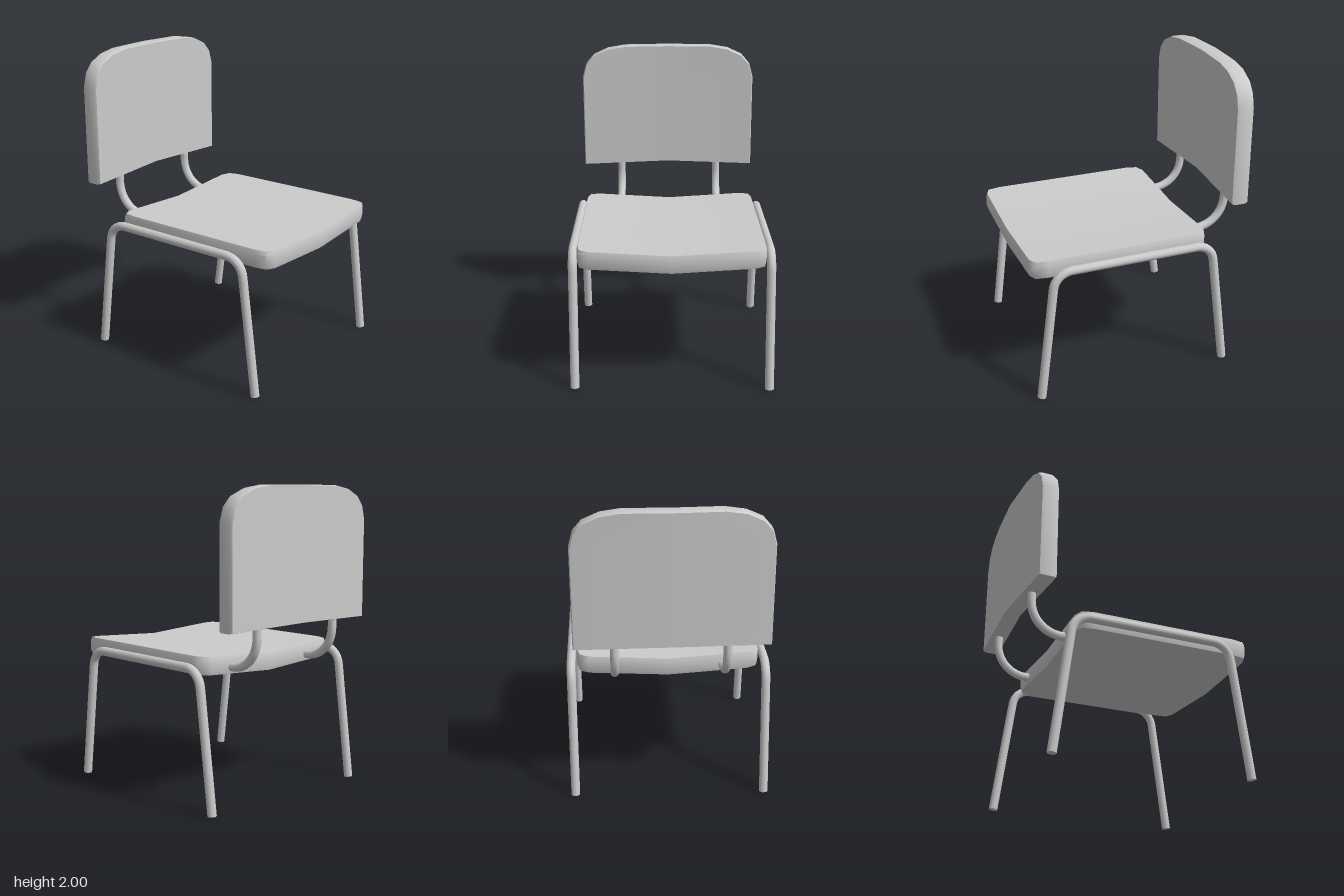
import * as THREE from 'three';
import { toCreasedNormals } from 'three/addons/utils/BufferGeometryUtils.js';

const material = new THREE.MeshStandardMaterial({ color: 0xcccccc });

function addMesh(parent, name, geometry) {
  const mesh = new THREE.Mesh(geometry, material);
  mesh.name = name;
  parent.add(mesh);
  return mesh;
}

// Mirror a right-hand half outline (from bottom centre to top centre)
const mirrored = half => [...half, ...half.slice(1, -1).reverse().map(([u, v]) => [-u, v])];

// Slab built from rings of one outline: rings = [scale, depth] from back to front,
// closed by fans to a centre point; place() bends each point into position
function slab(outline, rings, backDepth, frontDepth, place) {
  const positions = [], index = [], n = outline.length, last = (rings.length - 1) * n;
  for (const [scale, d] of rings)
    for (const [u, v] of outline) positions.push(...place(u * scale, v * scale, d));
  positions.push(...place(0, 0, backDepth), ...place(0, 0, frontDepth));
  const back = rings.length * n, front = back + 1;
  for (let i = 0; i < n; i++) {
    const j = (i + 1) % n;
    for (let r = 0; r < last; r += n)
      index.push(r + i, r + j, r + n + j, r + i, r + n + j, r + n + i);
    index.push(back, j, i, front, last + i, last + j);
  }
  const geometry = new THREE.BufferGeometry();
  geometry.setAttribute('position', new THREE.Float32BufferAttribute(positions, 3));
  geometry.setIndex(index);
  return toCreasedNormals(geometry, 1.05);
}

// Capped round tube in a plane of constant x
function addTube(parent, name, path, radius, segments) {
  const group = new THREE.Group();
  group.name = name;
  addMesh(group, name + 'Tube', new THREE.TubeGeometry(path, segments, radius, 10, false));
  for (const t of [0, 1]) {
    const cap = addMesh(group, name + 'End', new THREE.CircleGeometry(radius, 10));
    const direction = path.getTangentAt(t).multiplyScalar(t ? 1 : -1);
    cap.position.copy(path.getPointAt(t));
    cap.quaternion.setFromUnitVectors(new THREE.Vector3(0, 0, 1), direction);
  }
  parent.add(group);
}

// Path through (z, y) points with each inner corner rounded by distance r
function roundedPath(x, points, r) {
  const p = points.map(([z, y]) => new THREE.Vector3(x, y, z));
  const path = new THREE.CurvePath();
  let from = p[0];
  for (let i = 1; i < p.length - 1; i++) {
    const before = p[i].clone().add(p[i - 1].clone().sub(p[i]).setLength(r));
    const after = p[i].clone().add(p[i + 1].clone().sub(p[i]).setLength(r));
    const c1 = before.clone().lerp(p[i], 0.58), c2 = after.clone().lerp(p[i], 0.58);
    path.add(new THREE.LineCurve3(from, before));
    path.add(new THREE.CubicBezierCurve3(before, c1, c2, after));
    from = after;
  }
  path.add(new THREE.LineCurve3(from, p[p.length - 1]));
  return path;
}

export function createModel() {
  const chair = new THREE.Group();
  chair.name = 'chair';

  // Seat: shallow V across its width, underside deepest in the middle
  const seatOutline = mirrored([
    [0, -0.6], [0.52, -0.6], [0.578, -0.575], [0.592, -0.49],
    [0.592, 0.5], [0.575, 0.572], [0.515, 0.6], [0, 0.6],
  ]);
  const seat = addMesh(chair, 'seat', slab(
    seatOutline,
    [[0.988, 0.81], [1, 0.835], [1, 0.9], [0.988, 0.925]], 0.79, 0.925,
    (u, v, d) => [u, d + 0.06 * Math.abs(u), -v]));
  seat.position.set(-0.002, 0, 0.145);

  // Backrest: rounded top corners, wrapped slightly forward at the sides
  const backOutline = mirrored([
    [0, -0.425], [0.61, -0.44], [0.61, 0.21], [0.585, 0.3], [0.53, 0.363],
    [0.43, 0.408], [0.305, 0.428], [0, 0.43],
  ]);
  const backrest = addMesh(chair, 'backrest', slab(
    backOutline,
    [[0.988, -0.75], [1, -0.73], [1, -0.662], [0.988, -0.64]], -0.75, -0.64,
    (u, v, d) => [u, v, d + 0.055 * Math.abs(u)]));
  backrest.position.set(-0.01, 1.57, 0);

  // Side frames: each bends one tube into front leg, rail and back leg
  for (const [name, x, shift] of [['leftLegFrame', 0.625, 0], ['rightLegFrame', -0.628, -0.04]]) {
    const path = roundedPath(x, [
      [0.72 + shift, 0], [0.607 + shift, 0.89], [-0.457 + shift, 0.89], [-0.575 + shift, 0],
    ], 0.11);
    addTube(chair, name, path, 0.029, 90);
  }

  // Curved supports from the back of the seat up into the backrest
  for (const [name, x] of [['leftBackSupport', 0.347], ['rightBackSupport', -0.352]])
    addTube(chair, name, roundedPath(x, [[-0.42, 0.875], [-0.677, 0.875], [-0.677, 1.17]], 0.21), 0.028, 28);

  return chair;
}
